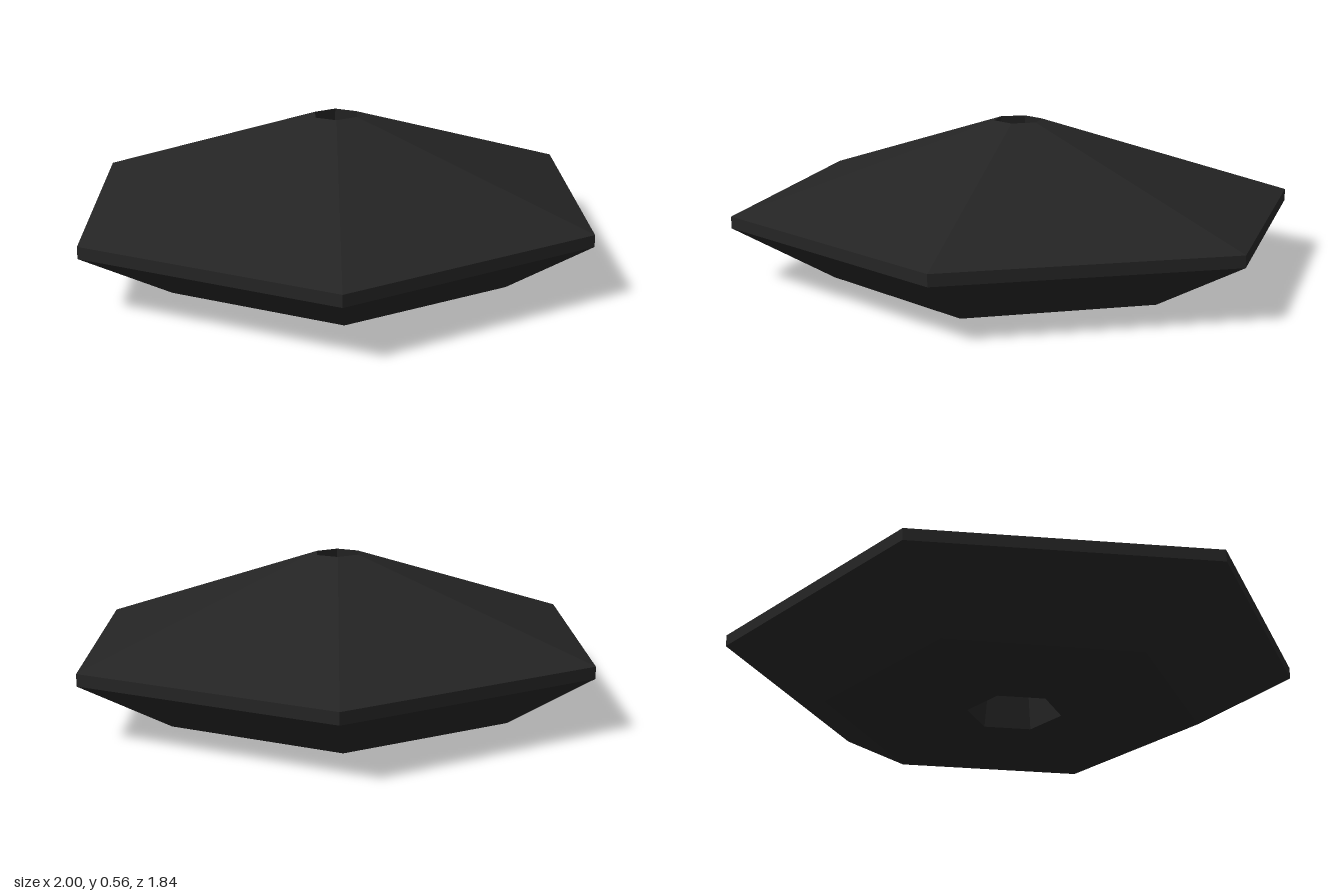
import * as THREE from 'three';

const charcoal = new THREE.MeshStandardMaterial({ color: 0x242424, flatShading: true });
charcoal.name = 'charcoal';

// Rings of the body: half width (x), half depth (z) and height
const lip = [0.17, 0.15, 0];
const base = [0.68, 0.595, 0];
const rimLow = [1, 0.92, 0.2];
const rimHigh = [1, 0.92, 0.243];
const crown = [0.086, 0.078, 0.555];

// Six-sided band joining the given rings; they run so that the outside lies to the right
function hexBand(name, rings) {
  const points = rings.map(([w, , y]) => new THREE.Vector2(w, y));
  const geometry = new THREE.LatheGeometry(points, 6, Math.PI / 2);
  const pos = geometry.attributes.position;
  for (let i = 0; i < pos.count; i++) {
    const [w, d] = rings[i % rings.length];
    pos.setZ(i, pos.getZ(i) * d / (w * Math.sin(Math.PI / 3)));
  }
  const flat = geometry.toNonIndexed();
  flat.computeVertexNormals();
  const mesh = new THREE.Mesh(flat, charcoal);
  mesh.name = name;
  return mesh;
}

export function createModel() {
  const model = new THREE.Group();
  model.name = 'hexagonalCap';
  model.add(
    hexBand('bottomPlate', [lip, base]),
    hexBand('lowerSlope', [base, rimLow]),
    hexBand('rim', [rimLow, rimHigh]),
    hexBand('roof', [rimHigh, crown]),
    // tapered hole through the middle
    hexBand('centreHole', [crown, lip])
  );
  return model;
}
